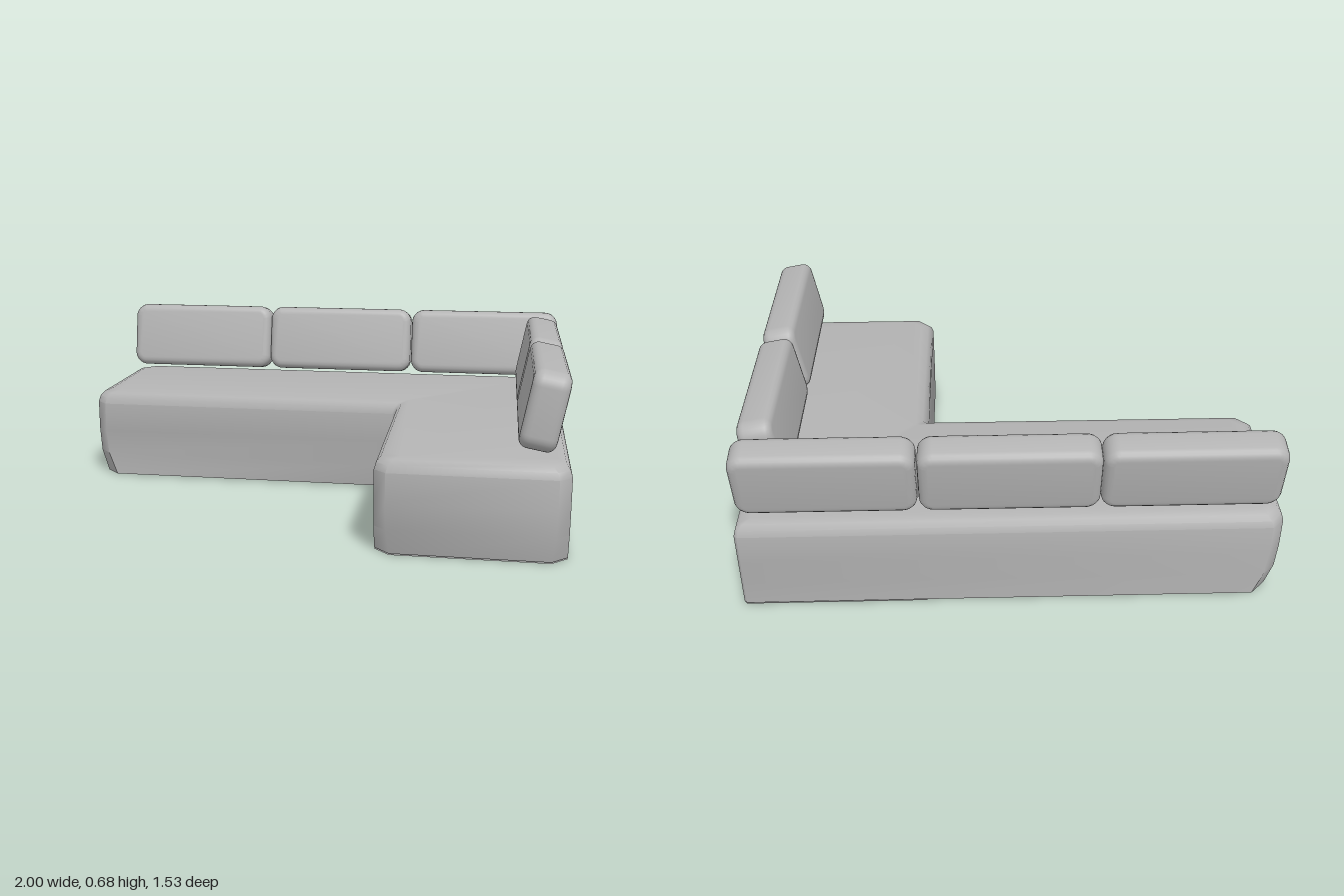
import * as THREE from 'three';
import { toCreasedNormals } from 'three/addons/utils/BufferGeometryUtils.js';

const fabric = new THREE.MeshStandardMaterial({ color: 0xb4b4b4, side: THREE.DoubleSide });
fabric.name = 'grey fabric';

// Corners of the L plan: x, z, inward direction, chamfer, inward lean at the foot (x, z)
const CORNERS = [
  { p: [-1, -0.76], inward: [1, 1], chamfer: 0.045, foot: [0.03, 0] },
  { p: [1, -0.76], inward: [-1, 1], chamfer: 0.012, foot: [0, 0] },
  { p: [1, 0.767], inward: [-1, -1], chamfer: 0.045, foot: [0, -0.03], drop: 0.01 },
  { p: [0.315, 0.767], inward: [1, -1], chamfer: 0.045, foot: [0, -0.03], drop: 0.01 },
  { p: [0.315, -0.09], inward: [1, -1], chamfer: 0.012, foot: [0, 0] },
  { p: [-1, -0.09], inward: [1, -1], chamfer: 0.045, foot: [0.03, 0] },
];

// One horizontal outline of the base: two points per chamfered corner
function ring({ y, inset, foot }) {
  const pts = CORNERS.map((c) => new THREE.Vector2(
    c.p[0] + c.inward[0] * inset + c.foot[0] * foot,
    c.p[1] + c.inward[1] * inset + c.foot[1] * foot));
  return pts.flatMap((p, i) => {
    const c = CORNERS[i];
    const cut = c.chamfer * (c.chamfer > 0.02 ? 1 + 0.3 * foot : 1);
    return [pts[(i + 5) % 6], pts[(i + 1) % 6]].map((q) => {
      const v = q.clone().sub(p).setLength(cut).add(p);
      return new THREE.Vector3(v.x, y - (y > 0.2 ? c.drop || 0 : 0), v.y);
    });
  });
}

// Triangles filling a horizontal outline, all facing up or all facing down
function capIndices(points, start, up) {
  const flat = points.map((p) => new THREE.Vector2(p.x, p.z));
  return THREE.ShapeUtils.triangulateShape(flat, []).flatMap(([a, b, c]) => {
    const ab = flat[b].clone().sub(flat[a]);
    const facesUp = ab.cross(flat[c].clone().sub(flat[a])) < 0;
    return (facesUp === up ? [a, b, c] : [a, c, b]).map((k) => k + start);
  });
}

function geometryFrom(points, index) {
  const g = new THREE.BufferGeometry().setFromPoints(points);
  g.setIndex(index);
  return toCreasedNormals(g, 0.8);
}

// Upholstered shell: outlines stacked from the foot to the rounded top
function baseShell() {
  const levels = [
    { y: 0.005, inset: 0, foot: 1 },
    { y: 0.1, inset: 0, foot: 0.2 },
    { y: 0.2, inset: 0, foot: 0 },
    { y: 0.32, inset: 0, foot: 0 },
    { y: 0.345, inset: 0.007, foot: 0 },
    { y: 0.363, inset: 0.022, foot: 0 },
    { y: 0.372, inset: 0.05, foot: 0 },
  ];
  const rings = levels.map(ring);
  const n = rings[0].length;
  const index = [];
  for (let r = 0; r < rings.length - 1; r++) {
    for (let i = 0; i < n; i++) {
      const a = r * n + i, b = r * n + (i + 1) % n;
      index.push(a, a + n, b, b, a + n, b + n);
    }
  }
  index.push(...capIndices(rings.at(-1), (rings.length - 1) * n, true));
  return geometryFrom(rings.flat(), index);
}

// Underside closes the short arm only; the long arm is hollow below
function underside() {
  const foot = ring({ y: 0, inset: 0, foot: 1 });
  const outline = [new THREE.Vector3(0.315, 0, -0.76), ...foot.slice(2, 9)];
  return geometryFrom(outline, capIndices(outline, 0, false));
}

// Soft rectangular cushion with a rounded rim
function cushionGeometry(w, h, d) {
  const bevel = 0.032, r = 0.025;
  const x = w / 2 - bevel, y = h / 2 - bevel;
  const s = new THREE.Shape();
  s.moveTo(-x + r, -y);
  s.lineTo(x - r, -y).absarc(x - r, -y + r, r, -Math.PI / 2, 0);
  s.lineTo(x, y - r).absarc(x - r, y - r, r, 0, Math.PI / 2);
  s.lineTo(-x + r, y).absarc(-x + r, y - r, r, Math.PI / 2, Math.PI);
  s.lineTo(-x, -y + r).absarc(-x + r, -y + r, r, Math.PI, Math.PI * 1.5);
  const g = new THREE.ExtrudeGeometry(s, {
    depth: d - 2 * bevel, bevelSize: bevel, bevelThickness: bevel, bevelSegments: 4, curveSegments: 4,
  });
  g.translate(0, 0, -(d - 2 * bevel) / 2);
  return toCreasedNormals(g, 0.8);
}

export function createModel() {
  const model = new THREE.Group();
  model.name = 'cornerSofa';
  const add = (parent, geometry, name) => {
    const mesh = new THREE.Mesh(geometry, fabric);
    mesh.name = name;
    parent.add(mesh);
    return mesh;
  };

  add(model, baseShell(), 'seatBase');
  add(model, underside(), 'seatUnderside');

  // Leaning cushions: three along the back, two along the left side
  const pad = cushionGeometry(0.655, 0.285, 0.132);
  const addCushion = (name, x, z, turn) => {
    const holder = new THREE.Group();
    holder.name = name;
    holder.position.set(x, 0.534, z);
    holder.rotation.y = turn;
    add(holder, pad, name + 'Pad').rotation.x = -0.19;
    model.add(holder);
  };
  [-0.653, 0.003, 0.663].forEach((x, i) => addCushion('backCushion' + (i + 1), x, -0.678, 0));
  [-0.252, 0.41].forEach((z, i) => addCushion('sideCushion' + (i + 1), 0.898, z, -Math.PI / 2));
  return model;
}
